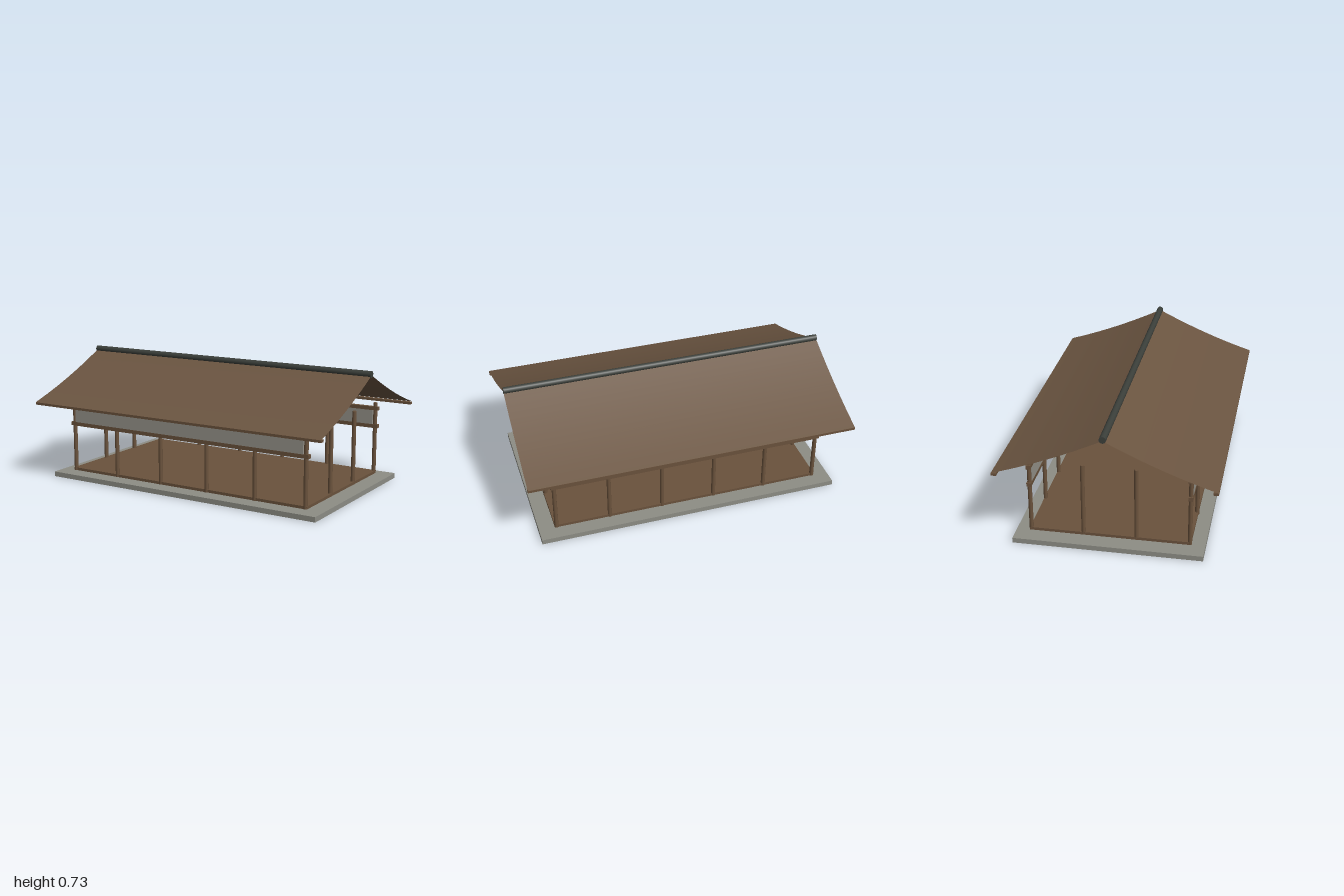
import * as THREE from 'three';

const mat = (name, color, side = THREE.FrontSide) => {
  const m = new THREE.MeshStandardMaterial({ color, side });
  m.name = name;
  return m;
};

export function createModel() {
  const wood = mat('timber', 0x6a523c);
  const thatch = mat('roofing', 0x6b5541, THREE.DoubleSide);
  const tile = mat('ridgeTile', 0x3b3f3a);
  const stone = mat('stone', 0x8d8d85);
  const plaster = mat('plaster', 0x96938a);

  const hall = new THREE.Group();
  hall.name = 'hall';

  const add = (name, geometry, material, x, y, z) => {
    const mesh = new THREE.Mesh(geometry, material);
    mesh.name = name;
    mesh.position.set(x, y, z);
    hall.add(mesh);
    return mesh;
  };
  const box = (name, material, w, y0, y1, d, z = 0) =>
    add(name, new THREE.BoxGeometry(w, y1 - y0, d), material, 0, (y0 + y1) / 2, z);

  // Stone base and raised floor
  box('base', stone, 1.762, 0, 0.029, 1.048);
  box('floor', wood, 1.582, 0.036, 0.052, 0.894);

  // Posts: six along each long side, two more at each gable end
  const postX = 0.78, postZ = 0.44, postTop = 0.465, postFoot = 0.036;
  const postGeometry = new THREE.CylinderGeometry(0.012, 0.012, postTop - postFoot, 12);
  const post = (x, z) => add('post', postGeometry, wood, x, (postTop + postFoot) / 2, z);
  for (const s of [-1, 1]) {
    for (let i = 0; i < 6; i++) post(-postX + (i * 2 * postX) / 5, s * postZ);
    for (const z of [-1, 1]) post(s * postX, (z * postZ) / 3);
  }

  // Rails with a plaster band between them on the long sides
  for (const s of [-1, 1]) {
    box('lowerRail', wood, 1.6, 0.313, 0.335, 0.026, s * postZ);
    box('upperRail', wood, 1.6, 0.42, 0.441, 0.026, s * postZ);
    box('plasterBand', plaster, 1.534, 0.335, 0.42, 0.0245, s * postZ);
  }

  // Two sagging roof slopes with eave boards
  const halfLength = 0.945, halfWidth = 0.6;
  for (const s of [-1, 1]) {
    const slope = new THREE.PlaneGeometry(2 * halfLength, 1, 1, 12);
    const p = slope.attributes.position;
    for (let i = 0; i < p.count; i++) {
      const t = 0.5 - p.getY(i);
      p.setXYZ(i, s * p.getX(i), 0.707 - 0.244 * t - 0.06 * t * (1 - t), s * halfWidth * t);
    }
    slope.computeVertexNormals();
    add('roofSlope', slope, thatch, 0, 0, 0);
    box('eaveBoard', wood, 2 * halfLength, 0.448, 0.462, 0.028, s * (halfWidth - 0.014));
  }

  // Round ridge cap
  add('ridge', new THREE.CylinderGeometry(0.019, 0.019, 2 * halfLength, 16), tile, 0, 0.711, 0)
    .rotation.z = Math.PI / 2;

  // The whole building stands slightly turned
  hall.rotation.y = 0.095;
  const model = new THREE.Group();
  model.name = 'pavilion';
  model.add(hall);
  return model;
}
